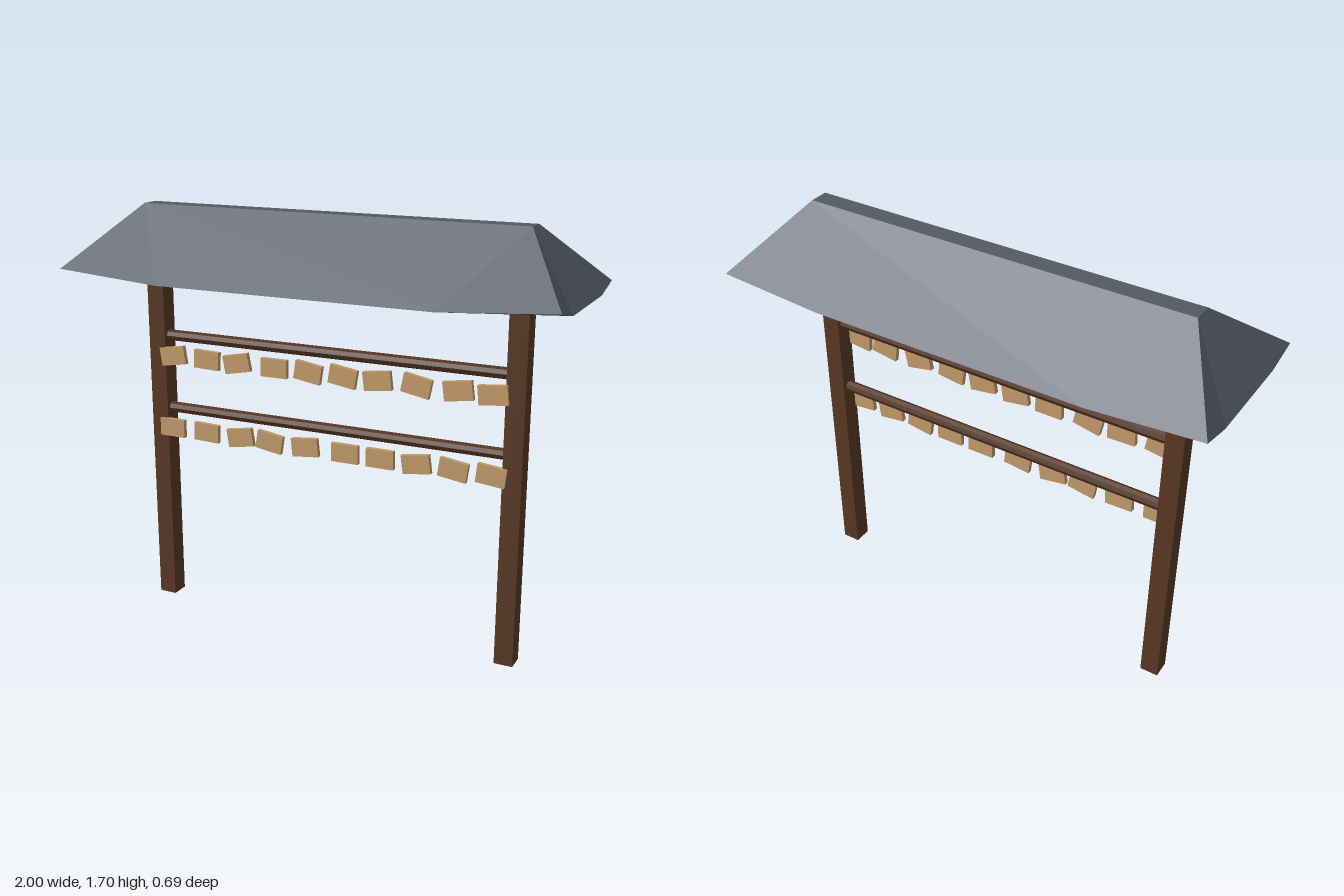
import * as THREE from 'three';

const mat = (name, color) => {
  const m = new THREE.MeshStandardMaterial({ color, flatShading: true });
  m.name = name;
  return m;
};

// Hipped roof with lifted corners, built from a ridge loop and an eave loop
function roofGeometry() {
  const corner = [1, 1.462, 0.345], ridge = [0.8, 1.695, 0.039];
  const eave = [], top = [], base = 1.43, bendX = 0.56, bendZ = 0.2;
  const pos = [];
  const tri = (...pts) => pts.forEach((p) => pos.push(...p));
  // quadrants in turn, running counter-clockwise seen from above
  const signs = [[1, 1], [1, -1], [-1, -1], [-1, 1]];
  signs.forEach(([sx, sz], i) => {
    const alongX = [sx * bendX, base, sz * corner[2]];
    const alongZ = [sx * corner[0], base, sz * bendZ];
    const tip = [sx * corner[0], corner[1], sz * corner[2]];
    const pair = i % 2 === 0 ? [alongX, tip, alongZ] : [alongZ, tip, alongX];
    eave.push(pair);
    top.push([sx * ridge[0], ridge[1], sz * ridge[2]]);
  });
  for (let i = 0; i < 4; i++) {
    const j = (i + 1) % 4;
    const [a, tip, b] = eave[i];
    const next = eave[j][0];
    tri(top[i], a, tip);
    tri(top[i], tip, b);
    tri(top[i], b, next);
    tri(top[i], next, top[j]);
    // underside: lifted corner and flat soffit
    tri(a, b, tip);
    tri([0, base, 0], b, a);
    tri([0, base, 0], next, b);
  }
  tri(top[0], top[1], top[2]);
  tri(top[0], top[2], top[3]);
  const g = new THREE.BufferGeometry();
  g.setAttribute('position', new THREE.Float32BufferAttribute(pos, 3));
  g.computeVertexNormals();
  return g;
}

export function createModel() {
  const group = new THREE.Group();
  const postWood = mat('dark wood', 0x583824);
  const railWood = mat('rail wood', 0x50301d);
  const plaqueWood = mat('pale wood', 0xc29a6b);
  const slate = mat('slate', 0x535964);

  const add = (name, geometry, material, x = 0, y = 0, z = 0) => {
    const m = new THREE.Mesh(geometry, material);
    m.name = name;
    m.position.set(x, y, z);
    group.add(m);
    return m;
  };

  add('roof', roofGeometry(), slate);

  // Posts
  const postGeo = new THREE.BoxGeometry(0.075, 1.45, 0.075);
  for (const s of [-1, 1]) add(s > 0 ? 'leftPost' : 'rightPost', postGeo, postWood, s * 0.768, 0.725);

  // Rails
  const railGeo = new THREE.CylinderGeometry(0.023, 0.023, 1.48, 8);
  railGeo.rotateZ(Math.PI / 2);
  add('upperRail', railGeo, railWood, 0, 1.155);
  add('lowerRail', railGeo, railWood, 0, 0.846);

  // Hanging plaques: [x, tilt in degrees]
  const plaqueGeo = new THREE.BoxGeometry(0.115, 0.075, 0.02);
  const rows = [
    { name: 'upperPlaque', y: 1.078, items: [[-0.69, 9], [-0.53, -2], [-0.39, 11], [-0.22, 0], [-0.07, -9],
      [0.08, -9], [0.225, 7], [0.385, -11], [0.55, 8], [0.685, 6]] },
    { name: 'lowerPlaque', y: 0.768, items: [[-0.705, 0], [-0.54, -2], [-0.38, 9], [-0.245, -9], [-0.085, 6],
      [0.09, 0], [0.24, 0], [0.39, 8], [0.54, -8], [0.69, -6]] },
  ];
  for (const { name, y, items } of rows) {
    for (const [x, tilt] of items) {
      add(name, plaqueGeo, plaqueWood, x, y, 0.038).rotation.z = THREE.MathUtils.degToRad(tilt);
    }
  }
  return group;
}
